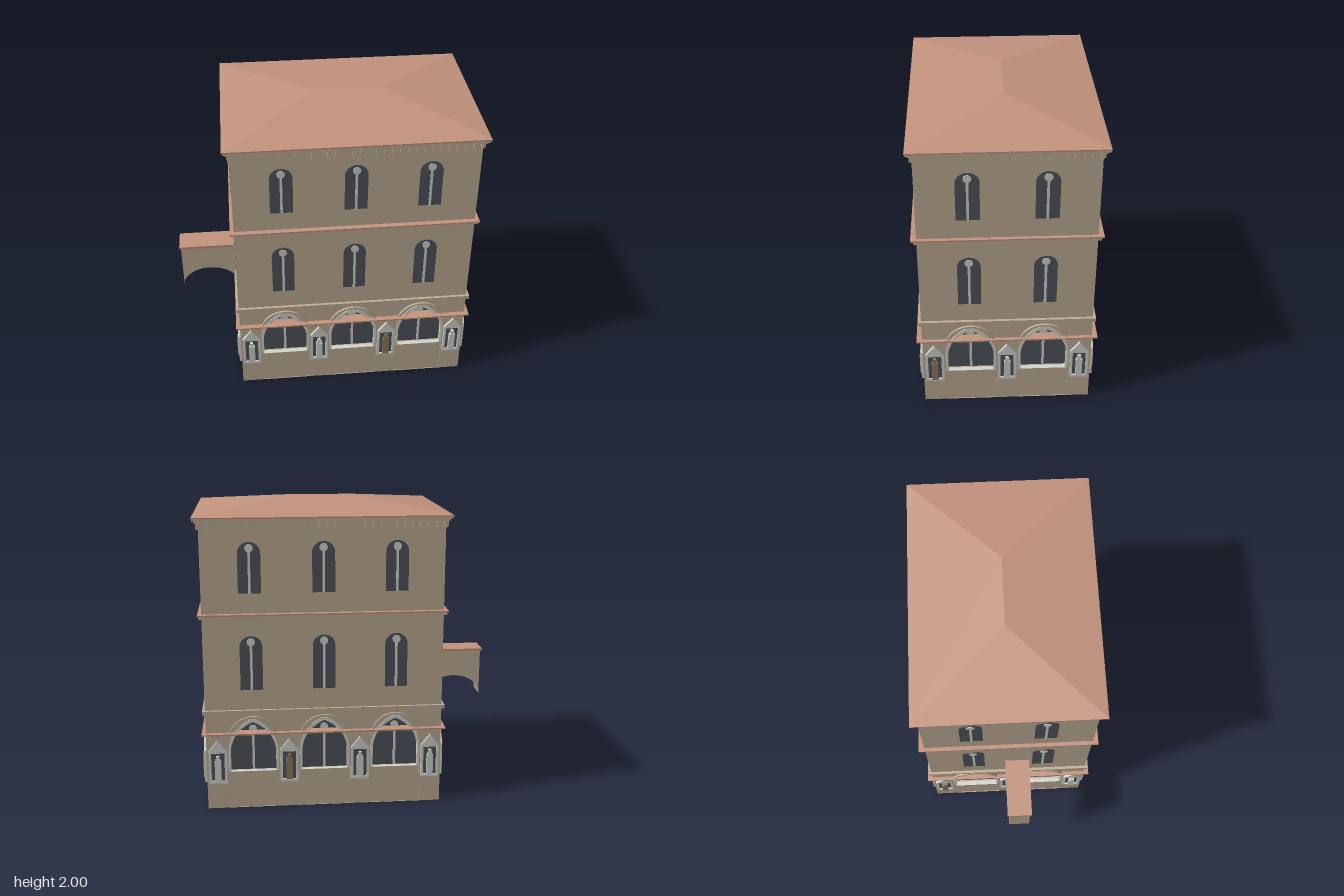
import * as THREE from 'three';
import { ConvexGeometry } from 'three/addons/geometries/ConvexGeometry.js';

const paint = (name, color) => {
  const m = new THREE.MeshStandardMaterial({ color });
  m.name = name;
  return m;
};
const wall = paint('sandstone', 0xc2b096);
const tile = paint('terracotta', 0xc4947e);
const stone = paint('pale stone', 0xd6d6d0);
const glass = paint('dark glass', 0x50555c);
const bronze = paint('bronze', 0x927c5e);

const CX = 0.17, W = 1.54, D = 1.09;

function add(parent, name, geo, mat, x = 0, y = 0, z = 0) {
  const mesh = new THREE.Mesh(geo, mat);
  mesh.name = name;
  mesh.position.set(x, y, z);
  parent.add(mesh);
  return mesh;
}
// Box given by its centre in x and z, and its bottom and top in y
const box = (parent, name, mat, x, y0, y1, z, w, d) =>
  add(parent, name, new THREE.BoxGeometry(w, y1 - y0, d), mat, x, (y0 + y1) / 2, z);
// Slab around the whole building, reaching past the walls by ox and oz
const slab = (parent, name, mat, y0, y1, ox, oz = ox) =>
  box(parent, name, mat, CX, y0, y1, 0, W + 2 * ox, D + 2 * oz);
const extrude = (shape, depth) =>
  new THREE.ExtrudeGeometry(shape, { depth, bevelEnabled: false, curveSegments: 12 });

// Pointed arch outline: half width, foot, spring and apex heights
function pointedArch(Kind, x, hw, foot, spring, apex) {
  const p = new Kind();
  const c = spring + (apex - spring) * 0.68;
  p.moveTo(x - hw, foot);
  p.lineTo(x + hw, foot);
  p.lineTo(x + hw, spring);
  p.quadraticCurveTo(x + hw * 0.92, c, x, apex);
  p.quadraticCurveTo(x - hw * 0.92, c, x - hw, spring);
  p.closePath();
  return p;
}

function rect(Kind, x0, x1, y0, y1) {
  const p = new Kind();
  p.moveTo(x0, y0);
  p.lineTo(x1, y0);
  p.lineTo(x1, y1);
  p.lineTo(x0, y1);
  p.closePath();
  return p;
}

// Thin central mullion ending in a roundel
function mullion(parent, y0, y1, z) {
  box(parent, 'mullion', stone, 0, y0, y1, z, 0.016, 0.006);
  const disc = add(parent, 'roundel', new THREE.CylinderGeometry(0.026, 0.026, 0.006, 16), stone, 0, y1, z);
  disc.rotation.x = Math.PI / 2;
}

function upperWindow(parent, u, y0, y1) {
  const g = new THREE.Group();
  g.name = 'upperWindow';
  g.position.x = u;
  parent.add(g);
  const s = new THREE.Shape();
  s.moveTo(-0.072, y0);
  s.lineTo(0.072, y0);
  s.lineTo(0.072, y1 - 0.07);
  s.absellipse(0, y1 - 0.07, 0.072, 0.07, 0, Math.PI, false);
  s.closePath();
  add(g, 'windowPane', extrude(s, 0.006), glass);
  mullion(g, y0, y1 - 0.038, 0.007);
}

function arcadeBay(parent, u) {
  const g = new THREE.Group();
  g.name = 'arcadeBay';
  g.position.x = u;
  parent.add(g);
  box(g, 'dadoPanel', wall, 0, 0, 0.255, -0.02, 0.33, 0.03);
  box(g, 'arcadeGlass', glass, 0, 0, 0.63, -0.052, 0.34, 0.026);
  mullion(g, 0.255, 0.535, -0.034);
  // Pale pointed surround
  const trim = pointedArch(THREE.Shape, 0, 0.164, 0.255, 0.4, 0.622);
  trim.holes.push(pointedArch(THREE.Path, 0, 0.147, 0.256, 0.4, 0.595));
  add(g, 'archSurround', extrude(trim, 0.03), stone, 0, 0, -0.025);
  // Round hood moulding
  const hood = new THREE.Shape();
  hood.absarc(0, 0.47, 0.163, 0, Math.PI, false);
  hood.absarc(0, 0.47, 0.15, Math.PI, 0, true);
  hood.closePath();
  add(g, 'hoodMoulding', extrude(hood, 0.014), wall);
}

function niche(parent, u, statueMat) {
  const g = new THREE.Group();
  g.name = 'statueNiche';
  g.position.x = u;
  parent.add(g);
  const frame = rect(THREE.Shape, -0.06, 0.06, 0.18, 0.4);
  frame.holes.push(rect(THREE.Path, -0.043, 0.043, 0.197, 0.388));
  add(g, 'nicheFrame', extrude(frame, 0.016), stone);
  box(g, 'nicheBack', glass, 0, 0.19, 0.395, 0.002, 0.1, 0.006);
  const gable = new THREE.Shape();
  gable.moveTo(-0.06, 0.4);
  gable.lineTo(0.06, 0.4);
  gable.lineTo(0, 0.475);
  gable.closePath();
  add(g, 'nicheGable', extrude(gable, 0.016), stone);
  // Simple standing figure
  box(g, 'statueBody', statueMat, 0, 0.198, 0.335, 0.014, 0.042, 0.022);
  box(g, 'statueShoulders', statueMat, 0, 0.335, 0.348, 0.014, 0.03, 0.018);
  box(g, 'statueHead', statueMat, 0, 0.348, 0.37, 0.014, 0.02, 0.018);
}

// One facade, built flat with its outer plane at z = 0
function facade(name, length, bays, niches, bronzeAt) {
  const f = new THREE.Group();
  f.name = name;
  // Ground wall: piers with pointed openings down to the floor
  const s = rect(THREE.Shape, -length / 2, length / 2, 0, 0.66);
  for (const u of bays) s.holes.push(pointedArch(THREE.Path, u, 0.164, 0.0005, 0.4, 0.622));
  add(f, 'arcadeWall', extrude(s, 0.06), wall, 0, 0, -0.06);
  for (const u of bays) {
    arcadeBay(f, u);
    upperWindow(f, u, 0.812, 1.167);
    upperWindow(f, u, 1.443, 1.766);
  }
  for (const u of niches) niche(f, u, u === bronzeAt ? bronze : stone);
  // Dentils under the eaves
  const n = Math.round(length / 0.05);
  for (let i = 0; i <= n; i++) {
    box(f, 'dentil', wall, -length / 2 + 0.008 + (i * (length - 0.016)) / n, 1.843, 1.887, 0.006, 0.016, 0.018);
  }
  return f;
}

export function createModel() {
  const model = new THREE.Group();
  model.name = 'palace';

  // Four facades
  const longBays = [-0.465, 0, 0.465], longNiches = [-0.6975, -0.2325, 0.2325, 0.6975];
  const shortBays = [-0.235, 0.235], shortNiches = [-0.47, 0, 0.47];
  const sides = [
    ['frontFacade', W, longBays, longNiches, 0.2325, CX, D / 2, 0],
    ['backFacade', W, longBays, longNiches, -0.2325, CX, -D / 2, Math.PI],
    ['leftFacade', D, shortBays, shortNiches, -0.47, CX + W / 2, 0, Math.PI / 2],
    ['rightFacade', D, shortBays, shortNiches, -0.47, CX - W / 2, 0, -Math.PI / 2],
  ];
  for (const [name, len, bays, niches, b, x, z, turn] of sides) {
    const f = facade(name, len, bays, niches, b);
    f.position.set(x, 0, z);
    f.rotation.y = turn;
    model.add(f);
  }

  // Upper storeys, string courses and cornices
  slab(model, 'upperStoreys', wall, 0.66, 1.9, 0);
  slab(model, 'lowerTileCourse', tile, 0.515, 0.525, 0.025, 0.035);
  slab(model, 'stringCourse', wall, 0.652, 0.678, 0.018);
  slab(model, 'middleCornice', wall, 1.283, 1.303, 0.018);
  slab(model, 'middleTileCourse', tile, 1.303, 1.313, 0.025, 0.035);
  slab(model, 'eavesCornice', wall, 1.885, 1.899, 0.024);
  slab(model, 'eavesFascia', wall, 1.899, 1.912, 0.036);

  // Hipped roof
  const pts = [new THREE.Vector3(-0.055, 2, 0), new THREE.Vector3(0.395, 2, 0)];
  for (const x of [-0.643, 0.98]) for (const z of [-0.585, 0.585]) for (const y of [1.912, 1.921]) {
    pts.push(new THREE.Vector3(x, y, z));
  }
  add(model, 'roof', new ConvexGeometry(pts), tile);

  // Bridge stub with an arched underside
  const b = new THREE.Shape();
  b.moveTo(-0.975, 0.89);
  b.lineTo(-0.975, 0.575);
  b.absellipse(-0.7875, 0.575, 0.1865, 0.135, Math.PI, 0, true);
  b.lineTo(-0.6, 0.575);
  b.lineTo(-0.6, 0.89);
  b.closePath();
  add(model, 'bridge', extrude(b, 0.14), wall, 0, 0, -0.01);
  box(model, 'bridgeCap', tile, -0.7925, 0.89, 0.906, 0.06, 0.385, 0.164);
  return model;
}
